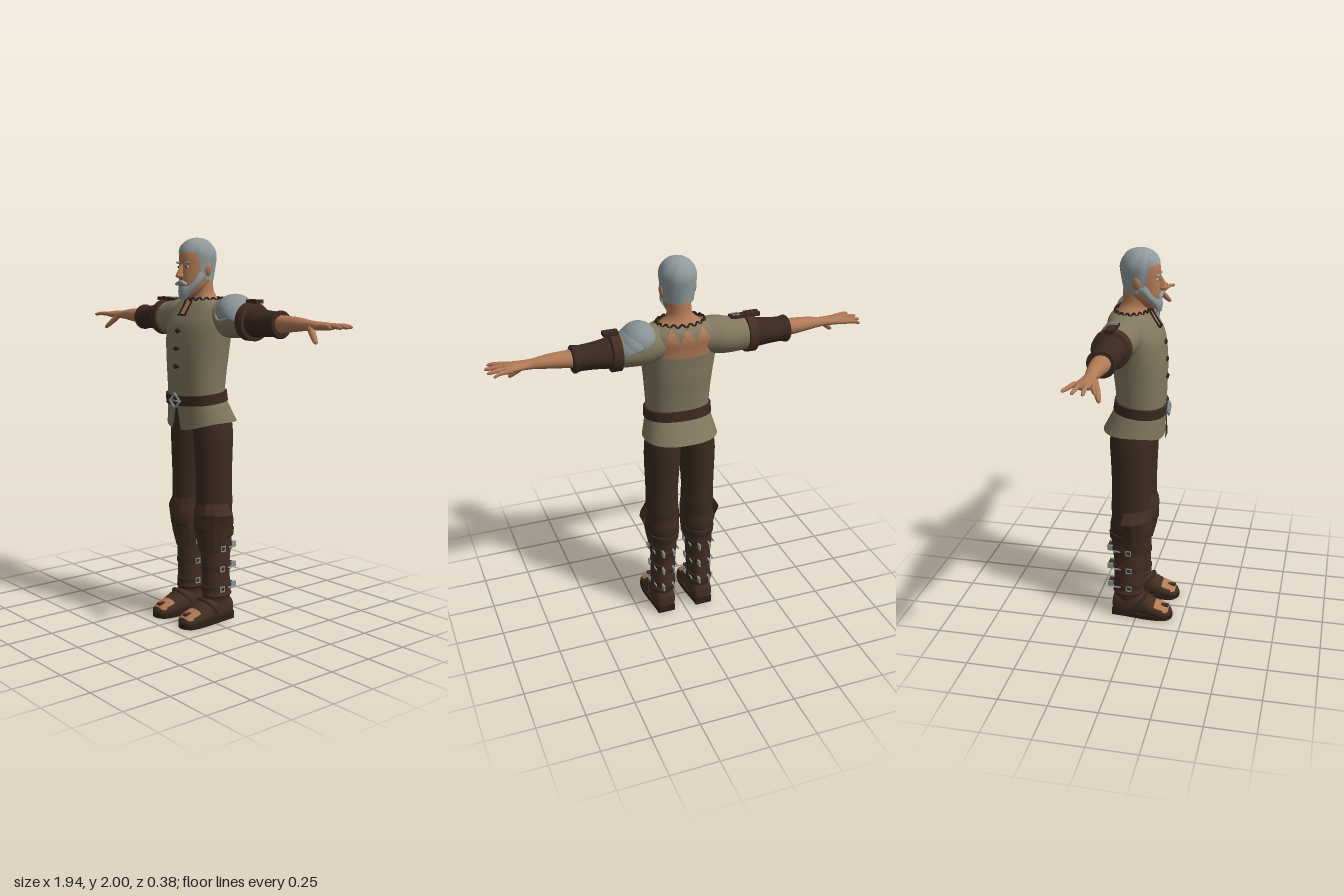
import * as THREE from 'three';
import { toCreasedNormals } from 'three/addons/utils/BufferGeometryUtils.js';

const mat = (name, color) => Object.assign(new THREE.MeshStandardMaterial({ color, side: THREE.DoubleSide }), { name });
const M = {
  skin: mat('skin', 0xb07a56), hair: mat('grey hair', 0x909a9c), tunic: mat('tunic linen', 0x82785f),
  pants: mat('trouser cloth', 0x3c2a20), leather: mat('boot leather', 0x432e22), bracer: mat('arm leather', 0x3a2820),
  trim: mat('dark trim', 0x2e1f18), steel: mat('steel', 0x8a9496), eye: mat('eye', 0xcfc8bc),
};
const ss = THREE.MathUtils.smoothstep, lerp = THREE.MathUtils.lerp;
const ep = (v, p) => Math.sign(v) * Math.abs(v) ** p;

// Grid surface from fn(t, angle); rule picks a material index for each face
function surface(n, m, fn, { a0 = 0, a1 = Math.PI * 2, rule = () => 0, crease } = {}) {
  const closed = a1 - a0 > 6.28, w = closed ? m : m + 1, pos = [], lists = [[], []];
  for (let i = 0; i <= n; i++) for (let j = 0; j < w; j++) pos.push(...fn(i / n, a0 + (a1 - a0) * j / m));
  for (let i = 0; i < n; i++) for (let j = 0; j < m; j++) {
    const a = i * w + j, b = i * w + (j + 1) % w, c = a + w, d = b + w;
    const mid = [0, 1, 2].map(k => (pos[a * 3 + k] + pos[b * 3 + k] + pos[c * 3 + k] + pos[d * 3 + k]) / 4);
    lists[rule(...mid)].push(a, c, b, b, c, d);
  }
  const g = new THREE.BufferGeometry();
  g.setAttribute('position', new THREE.Float32BufferAttribute(pos, 3));
  g.setIndex([...lists[0], ...lists[1]]);
  if (lists[1].length) {
    g.addGroup(0, lists[0].length, 0);
    g.addGroup(lists[0].length, lists[1].length, 1);
  }
  g.computeVertexNormals();
  return crease ? toCreasedNormals(g, crease) : g;
}

// Spline through rows of numbers
function sample(rows, t) {
  const f = t * (rows.length - 1), i = Math.min(Math.floor(f), rows.length - 2), u = f - i;
  const R = k => rows[Math.max(0, Math.min(rows.length - 1, k))];
  return rows[i].map((p1, k) => {
    const p0 = R(i - 1)[k], p2 = R(i + 1)[k], p3 = R(i + 2)[k];
    return 0.5 * (2 * p1 + (p2 - p0) * u + (2 * p0 - 5 * p1 + 4 * p2 - p3) * u * u + (3 * p1 - p0 - 3 * p2 + p3) * u ** 3);
  });
}

// Rings along an axis: [t, centreU, centreV, radiusU, radiusV]; UV is xz for y, zy for x, yx for z
function loft(axis, rows, { seg = 24, sub = 4, p = 1, ...o } = {}) {
  return surface((rows.length - 1) * sub, seg, (t, a) => {
    const [h, cu, cv, ru, rv] = sample(rows, t);
    const u = cu + ru * ep(Math.cos(a), p), v = cv + rv * ep(Math.sin(a), p);
    return axis === 'y' ? [u, h, v] : axis === 'x' ? [h, v, u] : [v, u, h];
  }, o);
}

function mirrored(geo) {
  const g = geo.index ? geo.toNonIndexed() : geo.clone();
  g.scale(-1, 1, 1);
  for (const at of Object.values(g.attributes)) for (let i = 0; i < at.count; i += 3) for (let k = 0; k < at.itemSize; k++) {
    const x = at.getComponent(i, k);
    at.setComponent(i, k, at.getComponent(i + 2, k));
    at.setComponent(i + 2, k, x);
  }
  return g;
}

const box = (w, h, d, x, y, z) => new THREE.BoxGeometry(w, h, d).translate(x, y, z);
const ball = (sx, sy, sz, x, y, z, rz = 0) => new THREE.SphereGeometry(1, 16, 12).scale(sx, sy, sz).rotateZ(rz).translate(x, y, z);
const tube = (pts, r, closed = false, n = 24) => new THREE.TubeGeometry(
  new THREE.CatmullRomCurve3(pts.map(q => new THREE.Vector3(...q)), closed), n, r, 6, closed);

export function createModel() {
  const root = new THREE.Group();
  const add = (name, geo, m) => {
    const mesh = new THREE.Mesh(geo, m);
    mesh.name = name;
    root.add(mesh);
  };
  const pair = (name, geo, m) => { add('left' + name, geo, m); add('right' + name, mirrored(geo), m); };

  // Head and neck
  add('neck', loft('y', [[1.62, 0, -.05, .14, .08], [1.675, 0, -.045, .115, .078], [1.705, 0, -.04, .075, .068],
    [1.74, 0, -.03, .06, .066], [1.82, 0, -.02, .06, .07]]), M.skin);
  add('head', loft('y', [[1.698, 0, .06, .002, .002], [1.705, 0, .055, .03, .035], [1.75, 0, .018, .06, .08],
    [1.80, 0, .005, .071, .094], [1.85, 0, 0, .077, .096], [1.9, 0, 0, .077, .096], [1.94, 0, 0, .064, .08], [1.975, 0, 0, .002, .002]]), M.skin);
  add('hair', surface(20, 48, (t, a) => {
    const s = Math.sin(a), e = 1.785 + .025 * ss(s, 0, .25) + .115 * ss(s, .3, .65);
    const y = e + (1.997 - e) * Math.sin(t * Math.PI / 2);
    const k = (y > 1.9 ? Math.max(0, 1 - ((y - 1.9) / .097) ** 2) ** .45 : 1 - (1.9 - y) * 1.3) * (1 + .022 * Math.sin(8 * a + 9 * t));
    return [.093 * k * Math.cos(a), y, -.004 + .102 * k * s];
  }), M.hair);
  add('beard', surface(8, 32, (t, a) => {
    const s = Math.sin(a), top = 1.83 - .075 * ss(s, .2, .85), low = 1.79 - .105 * ss(s, 0, .8);
    const y = lerp(low, top, t), k = ss(y, 1.66, 1.79), out = .012 * Math.sin(Math.PI * (.2 + .7 * t));
    return [(lerp(.02, .07, k) + out) * Math.cos(a), y, lerp(.06, .006, k) + (lerp(.032, .092, k) + out) * s];
  }, { a0: -.1, a1: Math.PI + .1 }), M.hair);
  pair('Moustache', ball(.027, .009, .012, .02, 1.771, .1, -.4), M.hair);
  pair('Brow', ball(.022, .006, .01, .033, 1.871, .089, .1), M.hair);
  pair('Eye', ball(.013, .006, .007, .032, 1.85, .086), M.eye);
  pair('Pupil', ball(.005, .005, .003, .032, 1.85, .092), M.trim);
  pair('Ear', ball(.012, .032, .02, .083, 1.835, -.008, -.15), M.skin);
  add('nose', loft('y', [[1.79, 0, .095, .004, .01], [1.802, 0, .105, .018, .025], [1.82, 0, .102, .012, .025], [1.865, 0, .09, .008, .01]], { seg: 12 }), M.skin);
  add('mouth', box(.03, .004, .006, 0, 1.759, .105), M.trim);

  // Tunic body, open at the throat and across the upper back
  add('tunic', loft('y', [[1.1, 0, -.02, .175, .14], [1.19, 0, 0, .163, .125], [1.3, 0, 0, .168, .13], [1.4, 0, -.005, .177, .137],
    [1.48, 0, -.01, .187, .138], [1.56, 0, -.02, .197, .135], [1.62, 0, -.04, .2, .125], [1.66, 0, -.048, .175, .108], [1.69, 0, -.045, .12, .083]], {
    seg: 96, sub: 8, p: .88, rule: (x, y, z) => {
      if (z > 0) return Math.abs(x) < .02 && y > 1.61 ? 1 : 0;
      const zig = 1.68 - .06 * Math.abs(((x + 1) / .08) % 1 - .5) * 2;
      return z < -.08 && Math.abs(x) < .17 - (1.66 - y) * .35 && y > 1.535 && y < zig ? 1 : 0;
    } }), [M.tunic, M.skin]);
  add('tunicSkirt', surface(10, 64, (t, a) => {
    const s = ep(Math.sin(a), .85), c = ep(Math.cos(a), .85), f = 1 - t;
    return [c * (.163 + .031 * f), lerp(1.065 - .04 * Math.max(0, s) ** 3, 1.19, t), -.036 * f + s * (.125 + .03 * f)];
  }), M.tunic);
  const slit = new THREE.Shape([[-.035, 1.02], [.035, 1.02], [.008, 1.14], [-.008, 1.14]].map(q => new THREE.Vector2(...q)));
  add('skirtSlit', new THREE.ShapeGeometry(slit).translate(0, 0, .131), M.pants);
  add('collarTrim', tube(Array.from({ length: 36 }, (_, i) => {
    const a = i / 18 * Math.PI, k = i % 2 ? 1.05 : .98;
    return [.122 * k * Math.cos(a), i % 2 ? 1.682 : 1.698, -.045 + .086 * k * Math.sin(a)];
  }), .005, true, 144), M.trim);
  pair('ThroatTrim', tube([[.024, 1.695, .045], [.024, 1.66, .063], [.024, 1.61, .095]], .005), M.trim);
  add('throatLace', box(.05, .008, .012, 0, 1.61, .097), M.trim);
  for (const [y, z] of [[1.53, .123], [1.44, .131], [1.35, .134]]) {
    add('toggle', ball(.024, .008, .01, 0, y, z), M.trim);
    add('toggleLoop', box(.014, .024, .012, 0, y, z), M.bracer);
  }

  // Belt, higher at the back
  add('belt', loft('y', [[-.027, 0, 0, .166, .128], [-.025, 0, 0, .176, .138], [.025, 0, 0, .174, .136], [.027, 0, 0, .162, .126]],
    { seg: 48, sub: 1, p: .88, crease: .6 }).rotateX(.11).translate(0, 1.19, 0), M.bracer);
  add('beltBuckle', new THREE.TorusGeometry(.036, .007, 6, 4).scale(1.15, 1, 1).translate(0, 1.175, .143), M.steel);
  add('buckleTongue', box(.05, .008, .008, 0, 1.175, .143), M.steel);

  // Arms: rows are [x, z, y, depth radius, height radius]
  pair('Sleeve', loft('x', [[.1, -.055, 1.6, .09, .085], [.18, -.06, 1.595, .1, .096], [.25, -.068, 1.588, .094, .09],
    [.35, -.072, 1.585, .084, .08]]), M.tunic);
  pair('Bracer', loft('x', [[.34, -.072, 1.583, .072, .07], [.36, -.072, 1.583, .08, .077], [.44, -.072, 1.58, .073, .066], [.52, -.072, 1.578, .063, .062],
    [.545, -.072, 1.577, .07, .068], [.56, -.072, 1.577, .066, .064], [.562, -.072, 1.578, .035, .035]], { sub: 2, crease: .7 }), M.bracer);
  pair('ArmStrap', loft('x', [[.325, -.072, 1.585, .08, .08], [.327, -.072, 1.585, .098, .096], [.372, -.072, 1.583, .096, .095],
    [.377, -.072, 1.583, .075, .075]], { sub: 1, crease: .6 }), M.leather);
  pair('StrapBracket', box(.075, .02, .045, .365, 1.683, -.072), M.bracer);
  add('rightShoulderStrap', box(.12, .016, .04, -.31, 1.68, -.072), M.bracer);
  add('rightStrapBuckle', new THREE.TorusGeometry(.02, .004, 4, 4, Math.PI * 2).rotateZ(Math.PI / 4).rotateX(Math.PI / 2).translate(-.28, 1.69, -.072), M.steel);
  pair('Forearm', loft('x', [[.53, -.07, 1.58, .046, .044], [.6, -.07, 1.582, .046, .04], [.68, -.07, 1.584, .038, .033], [.75, -.07, 1.583, .029, .024],
    [.8, -.068, 1.582, .038, .021], [.85, -.07, 1.582, .047, .019], [.88, -.072, 1.581, .045, .014], [.89, -.072, 1.58, .002, .002]]), M.skin);
  [[-.115, .945], [-.088, .965], [-.06, .97], [-.033, .95]].forEach(([z, x]) => {
    const s = (z + .074) * .35;
    pair('Finger', loft('x', [[.85, z, 1.584, .011, .012], [.91, z + s, 1.585, .0105, .0105], [x - .01, z + s * 2, 1.58, .008, .008],
      [x, z + s * 2.1, 1.579, .001, .001]], { seg: 10, sub: 3 }), M.skin);
  });
  const thumb = loft('x', [[0, 0, 0, .016, .016], [.05, 0, 0, .016, .015], [.1, 0, 0, .011, .01], [.112, 0, 0, .001, .001]], { seg: 12 });
  pair('Thumb', thumb.rotateZ(-.68).rotateY(-.45).translate(.775, 1.575, -.045), M.skin);

  // Layered steel shoulder guard on the left
  [[.108, .085, .225, 1.632, 1.75], [.112, .08, .25, 1.615, 1.55], [.108, .075, .272, 1.598, 1.4]].forEach(([r, h, x, y, reach]) =>
    add('shoulderGuard', new THREE.SphereGeometry(1, 28, 10, 0, Math.PI * 2, 0, reach).scale(.09, h, r).rotateZ(-.5).translate(x, y, -.07), M.steel));
  add('guardRim', tube([[.165, 1.645, .02], [.22, 1.59, .042], [.275, 1.6, .03], [.32, 1.635, -.02]], .006), M.steel);

  // Trousers
  pair('TrouserLeg', loft('y', [[.465, .1, -.035, .055, .08], [.49, .1, -.035, .082, .108], [.54, .1, -.036, .09, .112], [.59, .1, -.038, .084, .1],
    [.64, .1, -.038, .086, .102], [.76, .1, -.036, .085, .1], [.9, .097, -.035, .092, .105], [1.0, .094, -.035, .094, .11], [1.12, .085, -.03, .085, .11]]), M.pants);

  // Boots, knee guards and feet
  pair('KneeGuard', surface(4, 8, (t, a) => {
    const [y, rx, rz] = [[.38, .068, .078], [.46, .086, .1], [.53, .098, .112], [.585, .122, .114], [.64, .088, .098]][Math.round(t * 4)];
    const c = Math.cos(a), r = c < 0 ? Math.min(rx, .092) : rx;
    return [.1 + r * c, y + .02 * Math.sin(a) * (t - .5), -.036 + rz * Math.sin(a)];
  }, { a0: -.25, a1: Math.PI + .25, crease: .3 }), M.leather);
  pair('BootShaft', loft('y', [[.08, .108, -.05, .055, .07], [.13, .108, -.05, .062, .078], [.145, .108, -.05, .071, .084], [.17, .106, -.05, .064, .08],
    [.3, .102, -.047, .065, .08], [.4, .1, -.05, .07, .088], [.48, .1, -.05, .074, .094], [.5, .1, -.05, .07, .09]], { sub: 3 }), M.leather);
  pair('BootCuff', loft('y', [[.455, .1, -.045, .078, .1], [.46, .1, -.045, .083, .105], [.495, .1, -.045, .086, .108], [.5, .1, -.045, .078, .1]],
    { sub: 1, crease: .6 }), M.bracer);
  pair('Foot', loft('z', [[-.132, .06, .108, .002, .002], [-.128, .065, .108, .05, .045], [-.08, .07, .108, .07, .06], [0, .07, .108, .068, .058],
    [.05, .06, .11, .058, .06], [.1, .045, .112, .042, .063], [.15, .035, .112, .032, .058], [.18, .028, .112, .02, .038], [.19, .025, .112, .002, .002]],
    { seg: 28, p: .85, rule: (x, y, z) => z > .1 && z < .172 && y > .045 && Math.abs(x - .112) < .05 ? 1 : 0 }), [M.leather, M.skin]);
  pair('ToeStrap', box(.022, .012, .085, .112, .068, .13).rotateX(0), M.leather);
  const sole = new THREE.Shape();
  sole.moveTo(.065, -.13);
  sole.bezierCurveTo(.055, -.02, .03, .08, .055, .16);
  sole.bezierCurveTo(.08, .205, .145, .205, .168, .16);
  sole.bezierCurveTo(.188, .08, .16, -.02, .155, -.13);
  const soleGeo = new THREE.ExtrudeGeometry(sole, { depth: .024, bevelEnabled: false, curveSegments: 10 });
  pair('Sole', soleGeo.rotateX(Math.PI / 2).translate(0, .024, 0), M.trim);
  pair('Heel', box(.094, .04, .07, .109, .021, -.098), M.trim);
  pair('InstepStrap', tube([[.05, .06, -.01], [.07, .115, .04], [.11, .128, .052], [.15, .115, .04], [.17, .06, -.01]], .009), M.bracer);

  // Buckled straps round the calves
  for (const y of [.18, .29, .4]) {
    const r = y > .35 ? .074 : .068;
    pair('CalfStrap', loft('y', [[y - .015, .103, -.049, r - .006, r + .01], [y - .013, .103, -.049, r, r + .017], [y + .013, .103, -.049, r, r + .017],
      [y + .015, .103, -.049, r - .006, r + .01]], { sub: 1, crease: .6 }), M.bracer);
    for (const s of [-1, 1]) {
      pair('SideBuckle', new THREE.TorusGeometry(.018, .005, 4, 4).rotateZ(Math.PI / 4).rotateY(Math.PI / 2).translate(.103 + s * (r + .003), y, -.035), M.steel);
      pair('BackBuckle', box(.01, .03, .03, .103 + s * .028, y, -.145), M.steel);
      pair('BuckleBar', box(.006, .008, .07, .103 + s * (r - .008), y, -.085), M.steel);
    }
    pair('StrapEnd', box(.05, .018, .03, .103, y, -.145), M.bracer);
  }
  return root;
}
